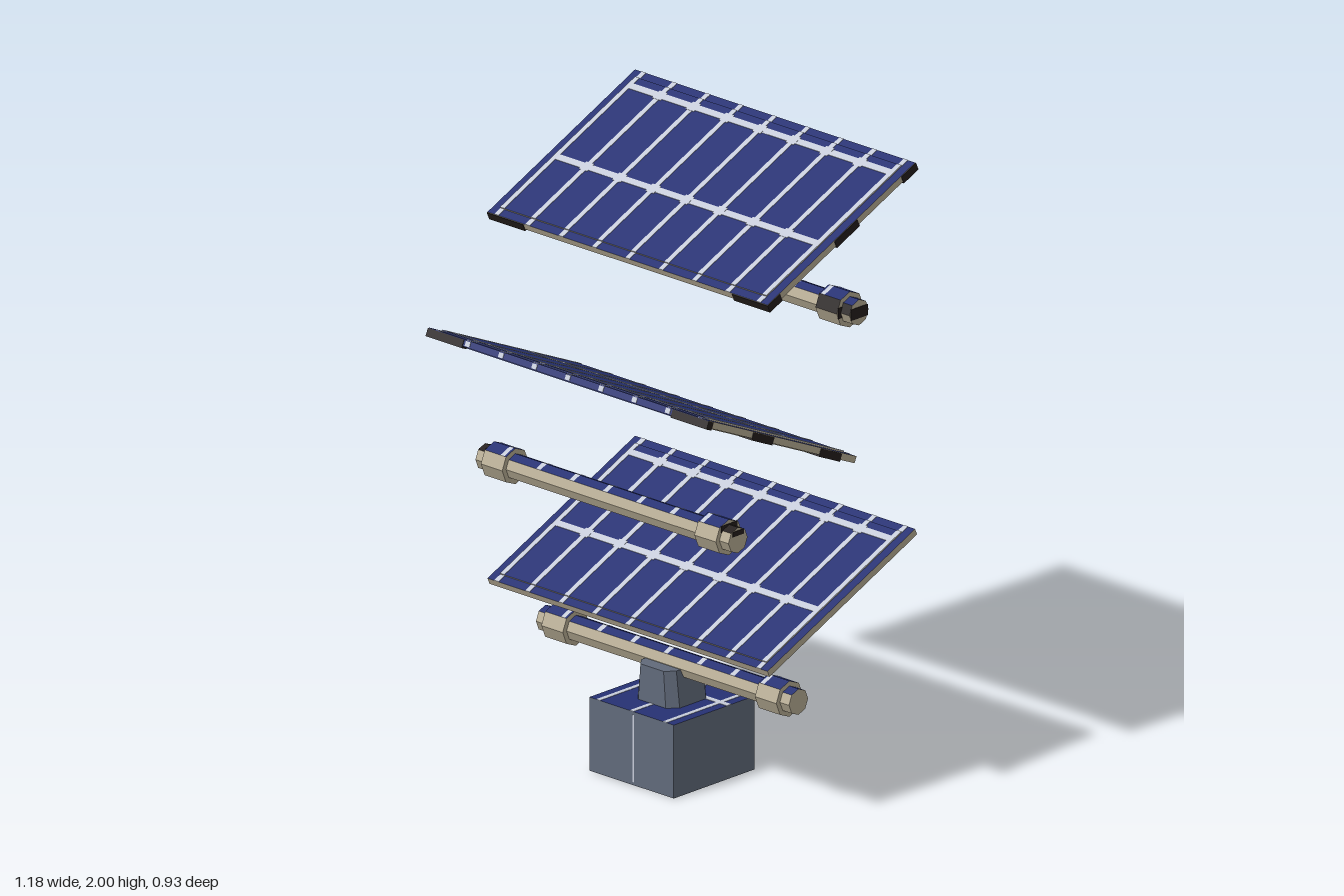
import * as THREE from 'three';

const mat = (name, color) => {
  const m = new THREE.MeshStandardMaterial({ color });
  m.name = name;
  return m;
};

export function createModel() {
  const blue = mat('cell blue', 0x263173);
  const silver = mat('silver lines', 0xc6cbd8);
  const tan = mat('tan frame', 0xb6ab93);
  const dark = mat('dark clamp', 0x241e1c);
  const slate = mat('slate base', 0x616a7a);
  const root = new THREE.Group();

  const add = (parent, name, geometry, material, x = 0, y = 0, z = 0) => {
    const mesh = new THREE.Mesh(geometry, material);
    mesh.name = name;
    mesh.position.set(x, y, z);
    parent.add(mesh);
    return mesh;
  };
  const box = (parent, name, w, h, d, material, x, y, z) =>
    add(parent, name, new THREE.BoxGeometry(w, h, d), material, x, y, z);

  // Tilted solar panel; its high end is local -z, or world +z when turned
  const TILT = 24 * Math.PI / 180, W = 1.18, L = 0.71;
  function panel(name, y, z, turned, clamps) {
    const holder = new THREE.Group();
    holder.name = name;
    holder.position.set(0, y, z);
    holder.rotation.y = turned ? Math.PI : 0;
    const p = new THREE.Group();
    p.rotation.x = TILT;
    holder.add(p);
    root.add(holder);
    // sides in order +x, -x, +y, -y, +z, -z
    box(p, 'panelFrame', W, 0.022, L, [tan, tan, blue, tan, tan, blue], 0, 0, 0);
    box(p, 'panelCore', 1.12, 0.03, 0.65, [tan, tan, blue, tan, tan, blue], 0, 0, 0);
    // cell grid
    const top = 0.0155, rows = [-0.285, 0.068];
    for (const r of rows) box(p, 'rowLine', 1.12, 0.002, 0.024, silver, 0, top, r);
    for (let i = -4; i <= 4; i++) {
      const x = i * 0.1405;
      const edge = Math.abs(i) === 4;
      const lx = edge ? Math.sign(i) * 0.552 : x;
      box(p, 'columnLine', 0.018, 0.002, 0.65, silver, lx, top, 0);
      for (const s of [-1, 1]) box(p, 'columnLineEnd', 0.018, 0.002, 0.03, silver, lx, 0.0115, s * 0.34);
      box(p, 'edgeMark', 0.02, 0.016, 0.002, silver, lx, 0, -L / 2 - 0.0005);
      if (!edge) for (const r of rows) box(p, 'crossing', 0.034, 0.0024, 0.036, silver, x, top, r);
    }
    // dark clamps wrapping the underside and side edges
    for (const [at, len] of clamps)
      for (const s of [-1, 1])
        box(p, 'clamp', 0.152, 0.026, len, dark, s * 0.516, -0.004, at);
  }
  panel('lowerPanel', 0.657, -0.133, false, []);
  panel('middlePanel', 1.25, 0.133, true, [[-0.09, 0.1], [0.235, 0.1], [-0.345, 0.024]]);
  panel('upperPanel', 1.845, -0.133, false, [[-0.02, 0.11], [0.327, 0.06], [-0.322, 0.07]]);

  // Eight-sided bar along x; a material index can be given per face
  function bar(r, len, faces) {
    const g = new THREE.CylinderGeometry(r, r, len, 8);
    g.clearGroups();
    for (let i = 0; i < 8; i++) g.addGroup(i * 6, 6, faces[i]);
    g.addGroup(48, 48, 0);
    g.rotateZ(Math.PI / 2);
    const flat = g.toNonIndexed();
    flat.computeVertexNormals();
    return flat;
  }
  const skins = [tan, blue, dark];
  const plain = [0, 1, 1, 0, 0, 0, 0, 0];

  // Silver strip over the two upward faces of a bar
  function strip(r, w) {
    const g = new THREE.CylinderGeometry(r, r, w, 2, 1, true, Math.PI / 4, Math.PI / 2);
    g.rotateZ(Math.PI / 2);
    const flat = g.toNonIndexed();
    flat.computeVertexNormals();
    return flat;
  }

  function beam(name, y, z, endFaces, collarFaces, bandY) {
    const b = new THREE.Group();
    b.name = name;
    b.position.set(0, y, z);
    root.add(b);
    add(b, 'tube', bar(0.041, 0.9, plain), skins);
    for (let i = -2; i <= 2; i++) add(b, 'tubeStrip', strip(0.042, 0.018), silver, i * 0.1405);
    for (const s of [-1, 1]) {
      add(b, 'collar', bar(0.058, 0.09, collarFaces), skins, s * 0.45);
      add(b, 'collarStrip', strip(0.059, 0.016), silver, s * 0.42);
      add(b, 'endCap', bar(0.042, 0.09, endFaces), skins, s * 0.488);
      if (bandY !== null) {
        const w = bandY > 0 ? 0.05 : 0.074;
        box(b, 'endBand', 0.003, bandY > 0 ? 0.016 : 0.036, w, dark, s * 0.5335, bandY, 0);
        box(b, 'collarBand', 0.003, bandY > 0 ? 0.022 : 0.036, bandY > 0 ? 0.07 : 0.105, dark, s * 0.495, bandY > 0 ? 0.034 : 0, 0);
      }
    }
  }
  beam('lowerBeam', 0.357, 0, plain, plain, null);
  beam('middleBeam', 0.952, 0.266, [0, 2, 2, 0, 0, 0, 0, 0], plain, 0.024);
  beam('upperBeam', 1.549, -0.266, [2, 1, 1, 2, 0, 0, 0, 0], [2, 1, 1, 2, 0, 0, 0, 0], 0);

  // Base block with a lined blue top
  const B = 0.356, H = 0.238;
  box(root, 'base', B, H, B, [slate, slate, blue, slate, slate, slate], 0, H / 2, 0);
  for (const x of [-0.1405, 0, 0.1405]) box(root, 'baseTopLine', 0.016, 0.002, B, silver, x, H, 0);
  box(root, 'baseTopRow', B, 0.002, 0.02, silver, 0, H, -0.065);
  box(root, 'baseSeam', 0.007, H - 0.02, 0.002, silver, 0.008, H / 2, B / 2);

  // Chamfered neck, narrowing in x towards the beam
  const a = 0.088, c = 0.058;
  const outline = new THREE.Shape([
    [a, -c], [a, c], [c, a], [-c, a], [-a, c], [-a, -c], [-c, -a], [c, -a],
  ].map(([x, y]) => new THREE.Vector2(x, y)));
  const neck = new THREE.ExtrudeGeometry(outline, { depth: 0.118, bevelEnabled: false });
  neck.rotateX(-Math.PI / 2);
  const pos = neck.attributes.position;
  for (let i = 0; i < pos.count; i++) if (pos.getY(i) > 0.06) pos.setX(i, pos.getX(i) * 0.84);
  neck.computeVertexNormals();
  add(root, 'neck', neck, slate, 0, H - 0.001, 0);

  return root;
}
